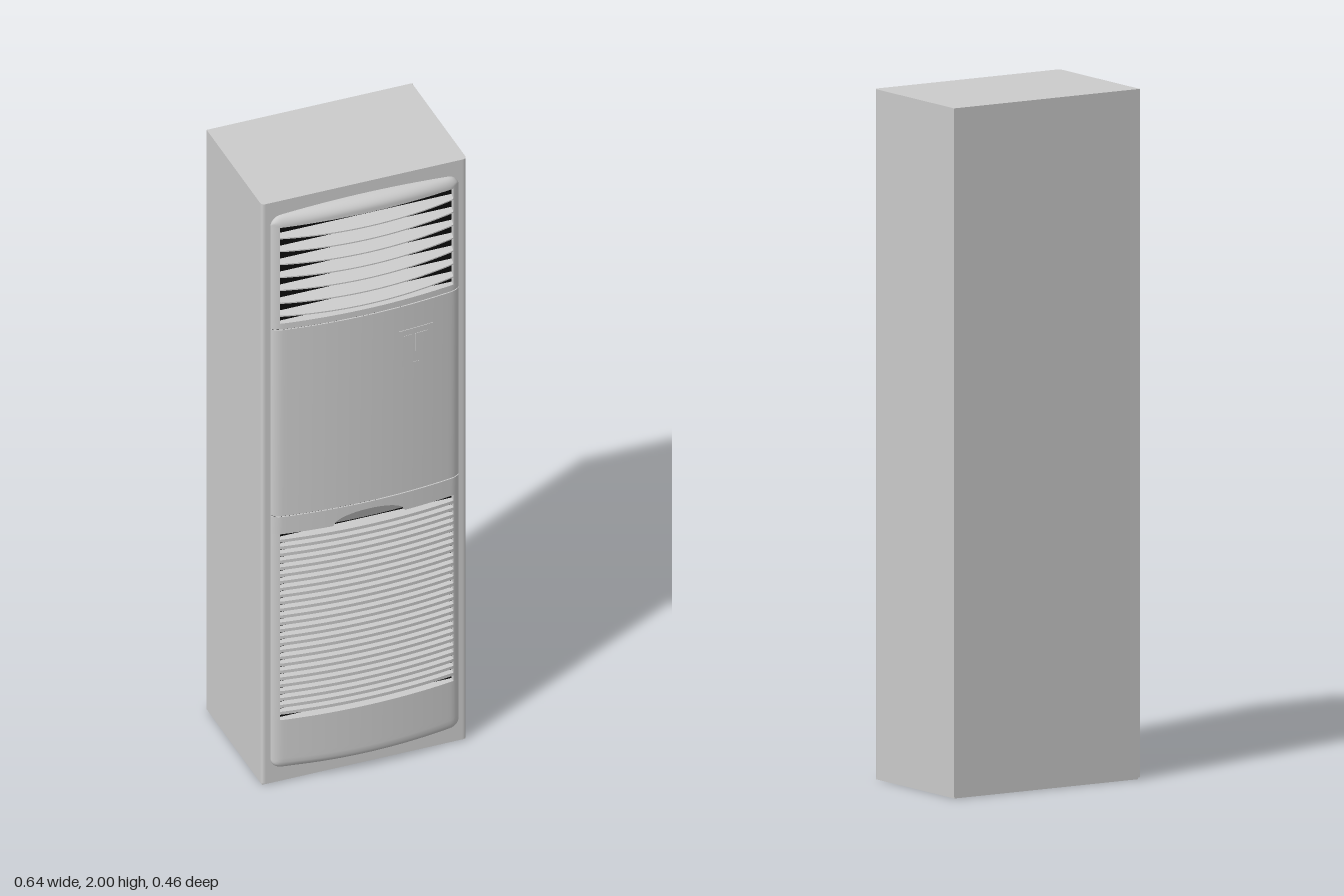
import * as THREE from 'three';

const FACE = 0.187;            // front plane of the cabinet
const HALF = 0.29;             // half width of the bowed fascia
const OPEN = 0.268;            // half width of the grille openings
const LOW = 0.045, HIGH = 1.962;
const grey = new THREE.MeshStandardMaterial({ color: 0xcccccc });
const black = new THREE.MeshStandardMaterial({ color: 0x0c0c0c });

// How far the top and bottom outline pulls in towards the corners
function pullIn(x) {
  const a = Math.abs(x), c = Math.max(0, a - 0.26);
  return 0.012 * (a / HALF) ** 2 + 0.03 - Math.sqrt(Math.max(0, 0.0009 - c * c));
}
const bottomEdge = x => LOW + pullIn(x);
const topEdge = x => HIGH - pullIn(x);

// Bowed front surface with a rounded rim
function surface(x, y) {
  const bow = 0.04 - 0.012 * (x / 0.2) ** 2;
  const d = Math.min(HALF - Math.abs(x), y - bottomEdge(x), topEdge(x) - y);
  const e = THREE.MathUtils.clamp(d / 0.03, 0, 1);
  return FACE + bow * Math.sqrt(1 - (1 - e) ** 2);
}

// A box whose front follows the bowed surface; edges may be functions of x
function bent(name, x0, x1, y0, y1, o = {}) {
  const { nx = 40, ny = 1, back = FACE - 0.002, offset = () => 0, slope = 0, mat = grey } = o;
  const at = (v, x) => (typeof v === 'function' ? v(x) : v);
  const ease = t => 0.5 - 0.5 * Math.cos(Math.PI * t);
  const geo = new THREE.BoxGeometry(1, 1, 1, nx, ny, 1);
  const p = geo.attributes.position;
  for (let i = 0; i < p.count; i++) {
    const x = THREE.MathUtils.lerp(x0, x1, ease(p.getX(i) + 0.5));
    const y = THREE.MathUtils.lerp(at(y0, x), at(y1, x), ease(p.getY(i) + 0.5));
    const z = p.getZ(i) > 0 ? surface(x, y) + offset(x, y) : back;
    p.setXYZ(i, x, y - slope * (z - FACE), z);
  }
  geo.computeVertexNormals();
  const mesh = new THREE.Mesh(geo, mat);
  mesh.name = name;
  return mesh;
}

function box(name, w, h, d, x, y, z, mat = grey) {
  const mesh = new THREE.Mesh(new THREE.BoxGeometry(w, h, d), mat);
  mesh.position.set(x, y, z);
  mesh.name = name;
  return mesh;
}

// Tall cabinet with rounded front edges
function cabinet() {
  const w = 0.317, r = 0.014, s = new THREE.Shape();
  s.moveTo(-w, 0.226);
  s.lineTo(-w, -FACE + r);
  s.quadraticCurveTo(-w, -FACE, -w + r, -FACE);
  s.lineTo(w - r, -FACE);
  s.quadraticCurveTo(w, -FACE, w, -FACE + r);
  s.lineTo(w, 0.226);
  s.closePath();
  const geo = new THREE.ExtrudeGeometry(s, { depth: 1.994, bevelEnabled: false, curveSegments: 8 });
  geo.rotateX(-Math.PI / 2).translate(0, 0.006, 0);
  const mesh = new THREE.Mesh(geo, grey);
  mesh.name = 'cabinet';
  return mesh;
}

export function createModel() {
  const model = new THREE.Group();
  model.name = 'floorStandingAirConditioner';
  model.add(cabinet());
  model.add(box('backPanel', 0.636, 1.994, 0.004, 0, 1.003, -0.228));
  model.add(box('basePlate', 0.628, 0.006, 0.408, 0, 0.003, -0.022));

  // Fascia panels, separated by thin seams
  const handleArc = x => 0.865 + 0.036 * Math.sqrt(Math.max(0, 1 - (x / 0.11) ** 2));
  model.add(bent('lowerPanel', -HALF, HALF, bottomEdge, 0.225, { ny: 16 }));
  model.add(bent('handleBand', -HALF, HALF, handleArc, 0.924, { nx: 96 }));
  model.add(bent('middlePanel', -HALF, HALF, 0.927, 1.567));
  model.add(bent('outletSill', -HALF, HALF, 1.57, 1.59));
  model.add(bent('topCap', -HALF, HALF, 1.92, topEdge, { ny: 14 }));
  for (const y of [0.9255, 1.5685])
    model.add(bent('seam', -HALF + 0.003, HALF - 0.003, y - 0.002, y + 0.002,
      { offset: () => -0.004, mat: black }));

  // Finger scoop above the intake grille
  model.add(bent('handleScoop', -0.11, 0.11, 0.865, handleArc,
    { ny: 6, offset: (x, y) => -0.001 - 0.4 * (0.901 - y) }));

  // Side rails and dark backing for both openings
  for (const [name, y0, y1] of [['intake', 0.225, 0.865], ['outlet', 1.59, 1.92]]) {
    model.add(bent(name + 'RailLeft', OPEN, HALF, y0, y1, { nx: 8, ny: 12 }));
    model.add(bent(name + 'RailRight', -HALF, -OPEN, y0, y1, { nx: 8, ny: 12 }));
    model.add(box(name + 'Backing', OPEN * 2, y1 - y0, 0.004, 0, (y0 + y1) / 2, FACE, black));
  }

  // Intake slats
  const slats = new THREE.Group();
  slats.name = 'intakeSlats';
  const count = 26, pitch = 0.64 / (count + 1);
  for (let i = 1; i <= count; i++) {
    const y = 0.225 + i * pitch;
    slats.add(bent('intakeSlat', -OPEN, OPEN, y - 0.005, y + 0.005, { nx: 28 }));
  }
  model.add(slats);

  // Outlet louvres, sloping down towards the front
  const louvres = new THREE.Group();
  louvres.name = 'outletLouvres';
  for (let i = 0; i < 7; i++) {
    const y = 1.624 + i * 0.0445;
    louvres.add(bent('outletLouvre', -OPEN, OPEN, y - 0.002, y + 0.002,
      { nx: 28, slope: 0.5, offset: () => -0.001 }));
  }
  model.add(louvres);

  // Control panel with a display and a lower catch
  const raised = h => ({ nx: 10, offset: () => h });
  model.add(bent('controlPanel', 0.09, 0.2, 1.36, 1.484, raised(0.002)));
  model.add(bent('controlDisplay', 0.142, 0.182, 1.405, 1.465, raised(0.0035)));
  model.add(bent('controlButton', 0.103, 0.132, 1.405, 1.465, raised(0.003)));
  model.add(bent('controlCatch', 0.135, 0.155, 1.363, 1.369, raised(0.003)));
  return model;
}
